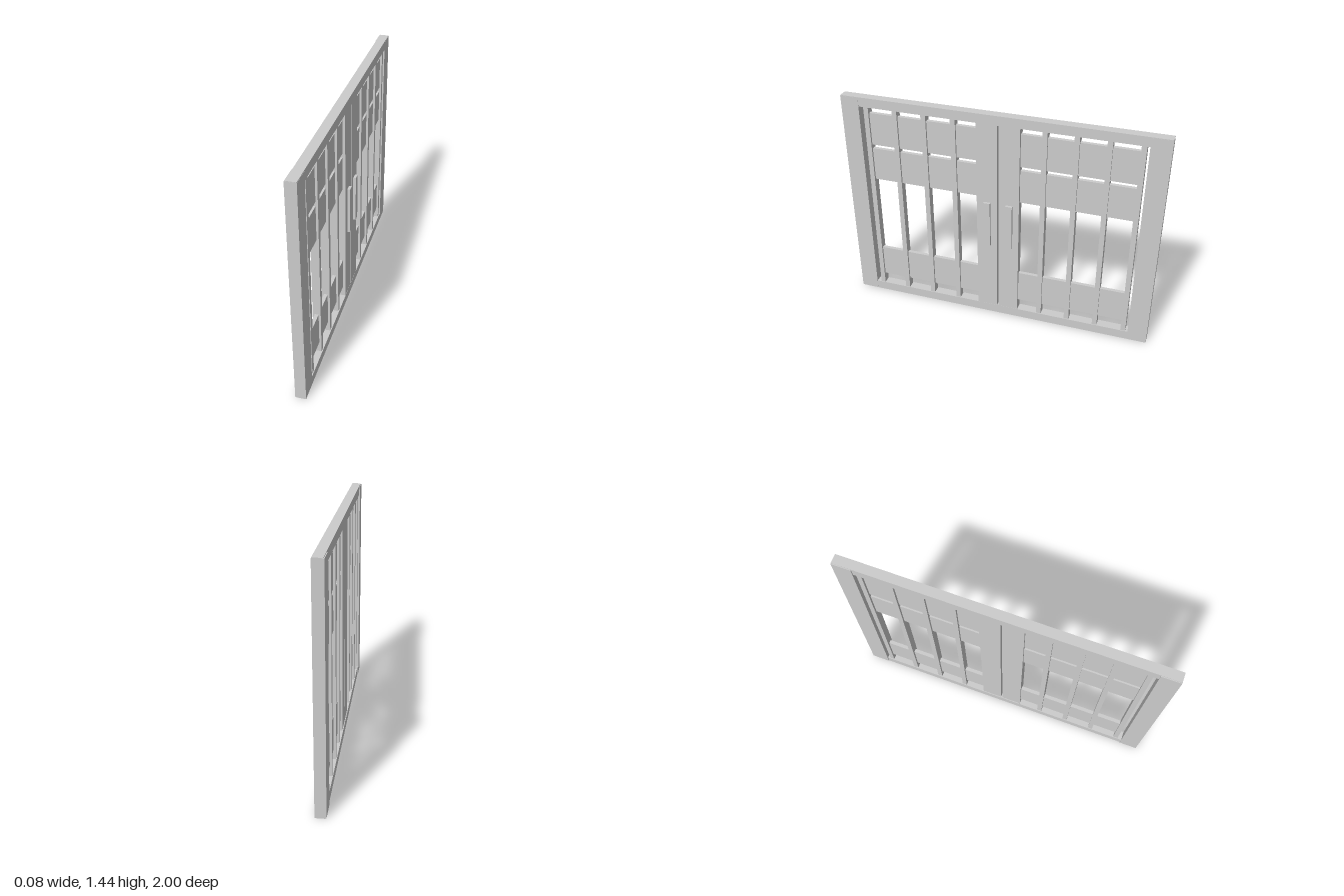
import * as THREE from 'three';

export function createModel() {
  const group = new THREE.Group();
  const grey = new THREE.MeshStandardMaterial({ color: 0xcccccc });
  grey.name = 'light grey';

  // Box given by its limits along each axis
  function box(name, [x0, x1], [y0, y1], [z0, z1], parent = group) {
    const mesh = new THREE.Mesh(new THREE.BoxGeometry(x1 - x0, y1 - y0, Math.abs(z1 - z0)), grey);
    mesh.position.set((x0 + x1) / 2, (y0 + y1) / 2, (z0 + z1) / 2);
    mesh.name = name;
    parent.add(mesh);
  }

  // Outer frame
  box('bottomBeam', [-0.037, 0.022], [0, 0.06], [-0.999, 0.999]);
  box('topBeam', [-0.037, 0.022], [1.382, 1.442], [-0.999, 0.999]);
  box('leftPost', [-0.042, 0.023], [0.004, 1.438], [0.884, 1]);
  box('rightPost', [-0.042, 0.023], [0.004, 1.438], [-1, -0.878]);

  // Two mirrored door leaves, meeting just off centre
  const middle = -0.003;
  for (const side of [1, -1]) {
    const leaf = new THREE.Group();
    leaf.name = side > 0 ? 'leftDoor' : 'rightDoor';
    group.add(leaf);
    const span = (a, b) => [middle + side * a, middle + side * b];

    box('meetingStile', [-0.032, 0.021], [0.06, 1.382], span(0.005, 0.136), leaf);
    for (let i = 0; i < 4; i++) {
      const z = 0.266 + i * 0.1873;
      box('verticalBar', [-0.032, 0.017], [0.06, 1.382], span(z, z + 0.031), leaf);
    }
    for (const y of [[0.13, 0.347], [0.881, 1.1], [1.126, 1.34]]) {
      box('crossPanel', [-0.019, 0.004], y, span(0.136, 0.829), leaf);
    }
    const grip = side > 0 ? [0.043, 0.086] : [-0.099, -0.056];
    box('handle', [0.021, 0.038], [0.542, 0.855], grip, leaf);
  }
  return group;
}
